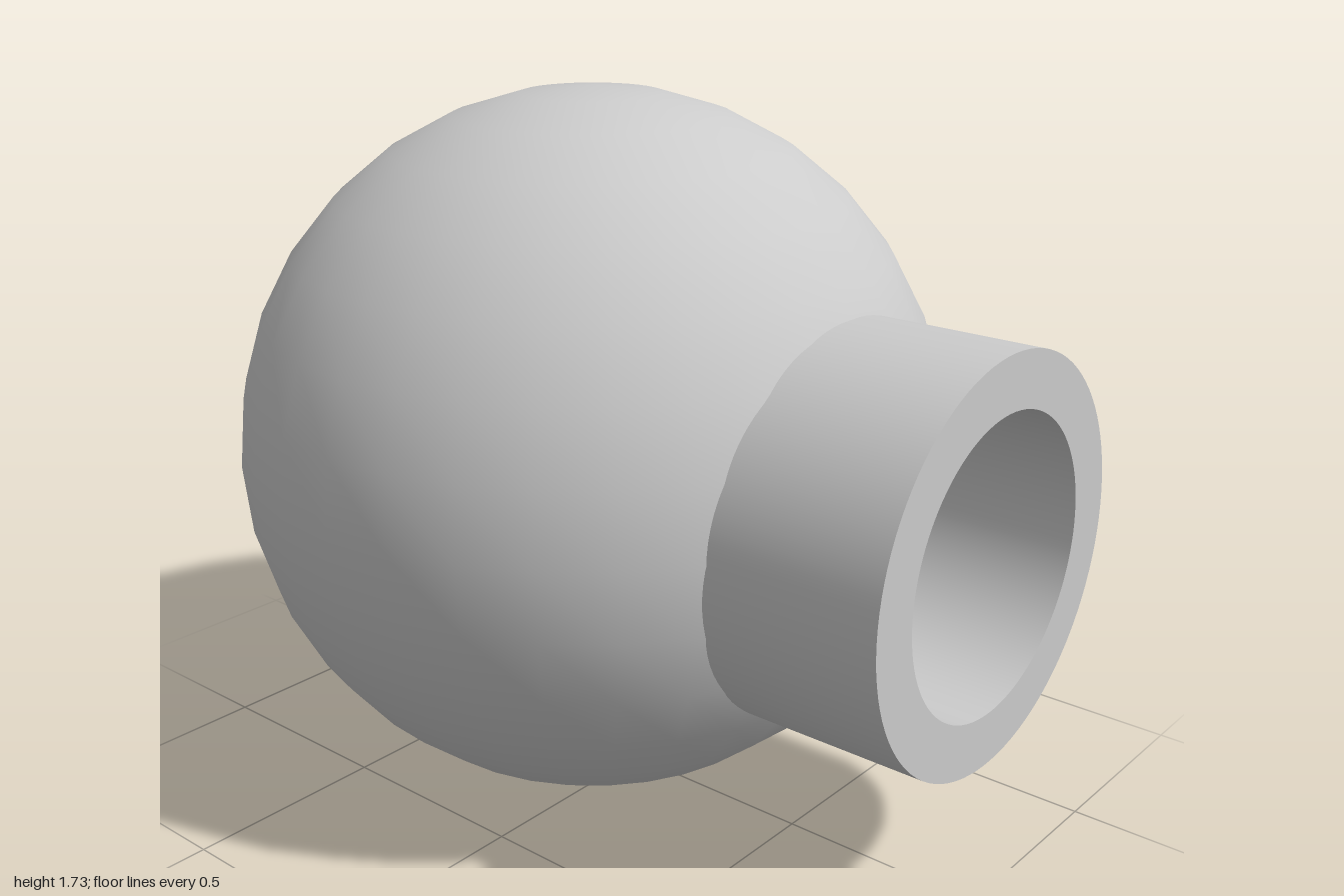
import * as THREE from 'three';

export function createModel() {
  const group = new THREE.Group();
  const material = new THREE.MeshStandardMaterial({ color: 0xcccccc });

  // Solid ball
  const ball = new THREE.Mesh(new THREE.SphereGeometry(0.863, 32, 16), material);
  ball.name = 'ball';
  ball.position.set(0, 0.865, -0.137);
  group.add(ball);

  // Hollow collar on the front, sunk into the ball just past the seam
  const outer = 0.47, inner = 0.342, back = 0.45, front = 1;
  const ring = new THREE.Shape().absarc(0, 0, outer, 0, Math.PI * 2, false);
  ring.holes.push(new THREE.Path().absarc(0, 0, inner, 0, Math.PI * 2, true));
  const collarGeometry = new THREE.ExtrudeGeometry(ring, {
    depth: front - back, bevelEnabled: false, curveSegments: 48,
  });

  // Smooth the curved walls, keep the flat rims sharp
  const p = collarGeometry.attributes.position, n = collarGeometry.attributes.normal;
  for (let i = 0; i < p.count; i++) {
    if (Math.abs(n.getZ(i)) > 0.5) continue;
    const r = Math.hypot(p.getX(i), p.getY(i));
    const s = (r > (outer + inner) / 2 ? 1 : -1) / r;
    n.setXYZ(i, p.getX(i) * s, p.getY(i) * s, 0);
  }
  const collar = new THREE.Mesh(collarGeometry, material);
  collar.name = 'collar';
  collar.position.set(0, 0.823, back);
  group.add(collar);

  return group;
}
